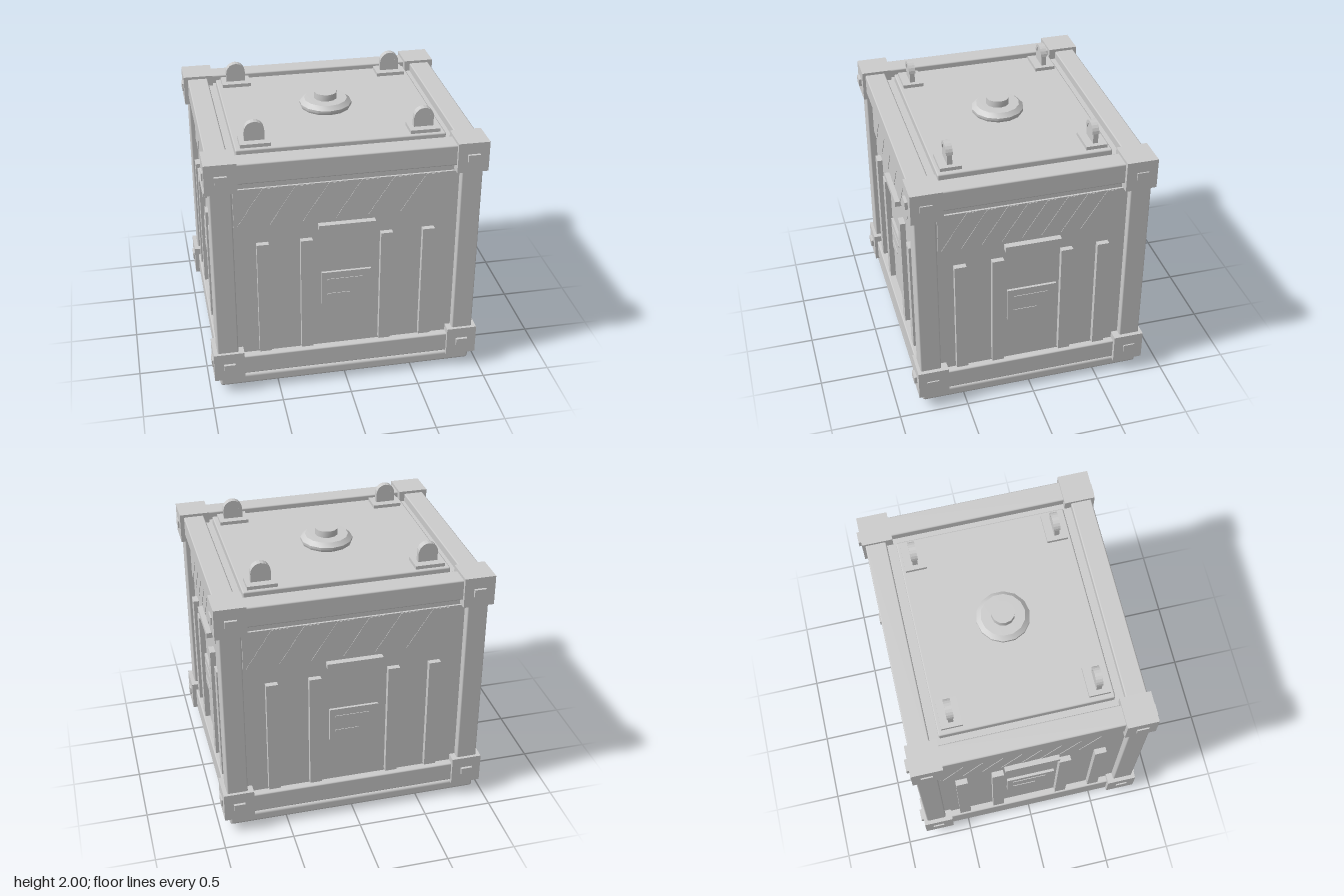
import * as THREE from 'three';
import { RoundedBoxGeometry } from 'three/addons/geometries/RoundedBoxGeometry.js';
import { toCreasedNormals } from 'three/addons/utils/BufferGeometryUtils.js';

const paint = new THREE.MeshStandardMaterial({ color: 0xcccccc });
paint.name = 'lightGrey';

function add(parent, name, geometry, x = 0, y = 0, z = 0) {
  const mesh = new THREE.Mesh(geometry, paint);
  mesh.name = name;
  mesh.position.set(x, y, z);
  parent.add(mesh);
  return mesh;
}

const box = (w, h, d) => new THREE.BoxGeometry(w, h, d);
const softBox = (w, h, d, r = 0.01) => new RoundedBoxGeometry(w, h, d, 1, r);

// Dressing of one wall; local +z points outward and the wall lies at z = wall
function createSide(name, wall, bandHalf, ribs, stripes) {
  const side = new THREE.Group();
  side.name = name;

  // Upper band with slanted stripes
  add(side, 'upperBand', box(bandHalf * 2, 0.29, 0.02), 0, 1.485, wall + 0.005);
  const pitch = (bandHalf * 2 - 0.2) / stripes;
  for (let i = 0; i < stripes; i++) {
    const x = -bandHalf + 0.02 + i * pitch;
    const w = pitch * 0.5;
    const shape = new THREE.Shape([
      new THREE.Vector2(x, 1.345), new THREE.Vector2(x + w, 1.345),
      new THREE.Vector2(x + w + 0.18, 1.625), new THREE.Vector2(x + 0.18, 1.625),
    ]);
    add(side, 'slantedStripe', new THREE.ExtrudeGeometry(shape, { depth: 0.004, bevelEnabled: false }), 0, 0, wall + 0.014);
  }

  // Vertical ribs
  for (const x of ribs) add(side, 'rib', box(0.085, 0.89, 0.05), x, 0.755, wall + 0.015);

  // Grab bar and plate with two raised bars
  add(side, 'grabBar', box(0.4, 0.04, 0.05), 0, 1.29, wall + 0.02);
  add(side, 'plate', box(0.355, 0.26, 0.025), 0, 0.78, wall + 0.007);
  add(side, 'plateBar', box(0.25, 0.012, 0.006), -0.01, 0.85, wall + 0.021);
  add(side, 'plateBar', box(0.17, 0.012, 0.006), -0.05, 0.73, wall + 0.021);
  return side;
}

// Lifting lug standing on a thin pad
function createLug() {
  const lug = new THREE.Group();
  lug.name = 'liftingLug';
  add(lug, 'lugPad', box(0.21, 0.025, 0.15), 0, 1.848, 0);

  const arch = new THREE.Shape();
  arch.moveTo(-0.07, 0);
  arch.lineTo(0.07, 0);
  arch.lineTo(0.07, 0.07);
  arch.absarc(0, 0.07, 0.07, 0, Math.PI, false);
  arch.lineTo(-0.07, 0);
  add(lug, 'lugPlate', new THREE.ExtrudeGeometry(arch, { depth: 0.036, bevelEnabled: false, curveSegments: 5 }), 0, 1.86, -0.018);

  const rim = new THREE.Shape();
  rim.absarc(0, 0, 0.07, 0, Math.PI, false);
  rim.absarc(0, 0, 0.045, Math.PI, 0, true);
  add(lug, 'lugRim', new THREE.ExtrudeGeometry(rim, { depth: 0.048, bevelEnabled: false, curveSegments: 5 }), 0, 1.93, -0.024);
  return lug;
}

export function createModel() {
  const model = new THREE.Group();
  model.name = 'cargoCrate';

  // Hull, lid and base
  add(model, 'hull', box(1.78, 1.67, 1.54), 0, 0.945, 0);
  add(model, 'lid', softBox(1.46, 0.1, 1.22), 0, 1.785, 0);
  add(model, 'base', softBox(1.86, 0.08, 1.64, 0.02), 0, 0.085, 0);

  // Frame rails along the top and bottom
  for (const y of [0.215, 1.765]) {
    for (const s of [-1, 1]) {
      add(model, 'longRail', softBox(1.6, 0.15, 0.15), 0, y, s * 0.75);
      add(model, 'shortRail', softBox(0.15, 0.15, 1.4), s * 0.865, y, 0);
    }
  }

  // Posts, corner blocks, lugs and feet at the four corners
  const footProfile = [[0, 0], [0.13, 0], [0.15, 0.01], [0.157, 0.04], [0.157, 0.06], [0, 0.06]]
    .map(([r, y]) => new THREE.Vector2(r, y));
  const footGeometry = toCreasedNormals(new THREE.LatheGeometry(footProfile, 20), 0.6);
  for (const sx of [-1, 1]) {
    for (const sz of [-1, 1]) {
      add(model, 'post', softBox(0.15, 1.4, 0.15), sx * 0.865, 0.99, sz * 0.75);
      for (const y of [0.23, 1.75]) {
        add(model, 'cornerBlock', box(0.22, 0.22, 0.22), sx * 0.86, y, sz * 0.738);
        add(model, 'frontStud', box(0.084, 0.055, 0.03), sx * 0.86, y, sz * 0.853);
        add(model, 'sideStud', box(0.03, 0.055, 0.084), sx * 0.965, y, sz * 0.743);
      }
      const lug = createLug();
      lug.position.set(sx * 0.59, 0, sz * 0.51);
      model.add(lug);
      add(model, 'foot', footGeometry, sx * 0.543, 0, sz * 0.45);
    }
  }

  // Round cap with a knob in the middle of the lid
  const capProfile = [[0, 1.82], [0.18, 1.835], [0.187, 1.85], [0.187, 1.868], [0.155, 1.896], [0, 1.9]]
    .map(([r, y]) => new THREE.Vector2(r, y));
  add(model, 'cap', toCreasedNormals(new THREE.LatheGeometry(capProfile, 14), 0.6));
  add(model, 'knob', toCreasedNormals(new THREE.CylinderGeometry(0.083, 0.083, 0.06, 12), 0.6), 0, 1.916, 0);

  // Dressed walls
  const longRibs = [-0.59, -0.285, 0.282, 0.582];
  const shortRibs = [-0.515, -0.25, 0.245, 0.508];
  for (const [name, turn] of [['front', 0], ['back', Math.PI]]) {
    const side = createSide(name + 'Wall', 0.77, 0.78, longRibs, 6);
    side.rotation.y = turn;
    model.add(side);
  }
  for (const [name, turn] of [['left', Math.PI / 2], ['right', -Math.PI / 2]]) {
    const side = createSide(name + 'Wall', 0.89, 0.66, shortRibs, 8);
    side.rotation.y = turn;
    model.add(side);
  }
  return model;
}
